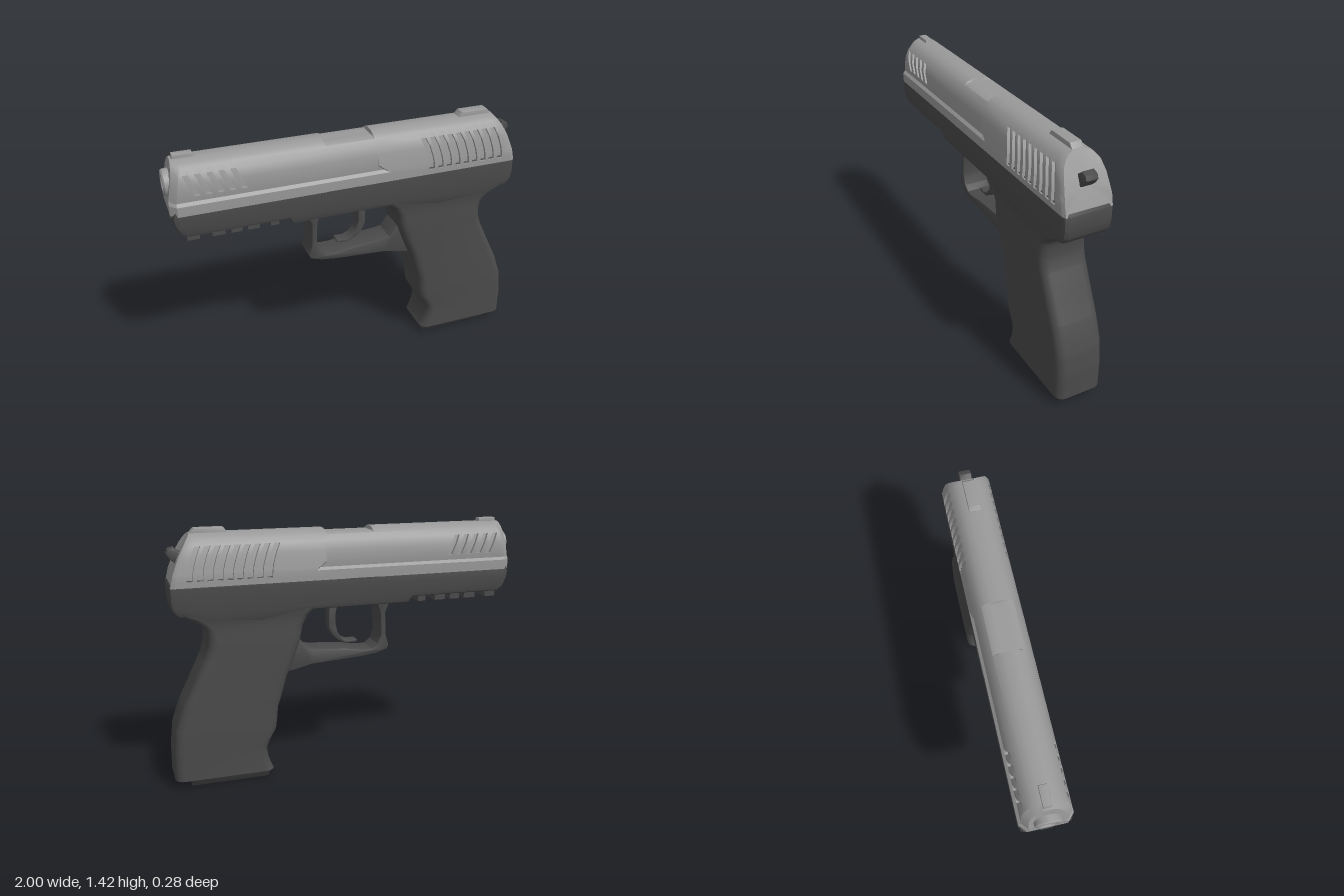
import * as THREE from 'three';
import { toCreasedNormals } from 'three/addons/utils/BufferGeometryUtils.js';

const lightMat = new THREE.MeshStandardMaterial({ color: 0x999999 });
const darkMat = new THREE.MeshStandardMaterial({ color: 0x4a4a4a });

// Piecewise linear lookup through [input, output] pairs
function lookup(pairs, v) {
  if (v <= pairs[0][0]) return pairs[0][1];
  for (let i = 1; i < pairs.length; i++) {
    const [a, fa] = pairs[i - 1], [b, fb] = pairs[i];
    if (v <= b) return fa + (fb - fa) * (v - a) / (b - a);
  }
  return pairs[pairs.length - 1][1];
}

// Skin closed rings of [x, y, z] points and cap both ends
function loft(rings, crease = 0.5) {
  const n = rings[0].length, pos = rings.flat(2), idx = [];
  for (let r = 0; r < rings.length - 1; r++) {
    for (let i = 0; i < n; i++) {
      const a = r * n + i, b = r * n + (i + 1) % n;
      idx.push(a, b, a + n, b, b + n, a + n);
    }
  }
  [0, rings.length - 1].forEach((r) => {
    const c = pos.length / 3;
    pos.push(...[0, 1, 2].map((k) => rings[r].reduce((s, p) => s + p[k], 0) / n));
    for (let i = 0; i < n; i++) {
      const a = r * n + i, b = r * n + (i + 1) % n;
      idx.push(...(r ? [a, b, c] : [b, a, c]));
    }
  });
  // Turn every face outward if the enclosed volume is negative
  const P = (i) => new THREE.Vector3().fromArray(pos, i * 3);
  let vol = 0;
  for (let i = 0; i < idx.length; i += 3) vol += P(idx[i]).dot(P(idx[i + 1]).cross(P(idx[i + 2])));
  if (vol < 0) idx.reverse();
  const g = new THREE.BufferGeometry();
  g.setAttribute('position', new THREE.Float32BufferAttribute(pos, 3));
  g.setIndex(idx);
  return toCreasedNormals(g, crease);
}

// Side outline in x, y extruded across z with bevelled edges
function plate(points, half, bevel) {
  const shape = new THREE.Shape(points.map((p) => new THREE.Vector2(...p)));
  const g = new THREE.ExtrudeGeometry(shape, {
    depth: 2 * (half - bevel), bevelEnabled: bevel > 0, bevelSize: bevel,
    bevelThickness: bevel, bevelOffset: -bevel, bevelSegments: 2,
  });
  g.translate(0, 0, -(half - bevel));
  return toCreasedNormals(g, 0.55);
}

// Rounded rectangle in a horizontal plane
function roundRing(y, x0, x1, half, r) {
  const ring = [], steps = 5;
  [[x1 - r, half - r], [x0 + r, half - r], [x0 + r, r - half], [x1 - r, r - half]].forEach(([cx, cz], q) => {
    for (let i = 0; i <= steps; i++) {
      const a = (q + i / steps) * Math.PI / 2;
      ring.push([cx + r * Math.cos(a), y, cz + r * Math.sin(a)]);
    }
  });
  return ring;
}

function slideGeometry() {
  const section = [[0.136, 1.13], [0.137, 1.16], [0.137, 1.16], [0.137, 1.185], [0.135, 1.2], [0.131, 1.23], [0.131, 1.23],
    [0.122, 1.29], [0.107, 1.34], [0.107, 1.34], [0.083, 1.37], [0.063, 1.385], [0.03, 1.398]];
  const noseX = (y) => lookup([[1.2, -0.99], [1.4, -0.95]], y);
  const tailX = (y) => lookup([[1.13, 0.962], [1.2, 0.945], [1.3, 0.905], [1.36, 0.87], [1.4, 0.84]], y);
  const ring = (xAt, { groove, ledge = false, port = false, scale = 1 } = {}) => {
    const side = section.map(([z, y], i) => {
      if (ledge && i >= 4 && i <= 6) z = i === 4 ? 0.122 : 0.125;
      if (groove && i >= groove && i <= 8) z -= 0.016;
      if (port) y = Math.min(y, 1.378);
      return [Math.min(xAt(y), tailX(y)), y, z * scale];
    });
    return [...side, ...side.map(([x, y, z]) => [x, y, -z]).reverse()];
  };
  const rings = [
    ring(noseX, { ledge: true, scale: 0.76 }),
    ring((y) => noseX(y) + 0.035, { ledge: true }),
  ];
  const addGrooves = (count, start, pitch, width, shift, groove, ledge) => {
    for (let i = 0; i < count; i++) {
      [[0, 0], [0, groove], [width, groove], [width, 0]].forEach(([d, g]) =>
        rings.push(ring((y) => Math.min(start + i * pitch + d + shift(y), tailX(y) - 0.03), { groove: g, ledge })));
    }
  };
  const t = (y, top, bottom) => THREE.MathUtils.clamp((top - y) / (top - bottom), 0, 1);
  // Slanted front grooves
  addGrooves(5, -0.91, 0.06, 0.03, (y) => 0.05 * t(y, 1.34, 1.23), 6, true);
  // Ejection port and end of the side ledge
  rings.push(ring(() => -0.16, { ledge: true }), ring(() => -0.155, { ledge: true, port: true }),
    ring(() => 0.11, { ledge: true, port: true }), ring(() => 0.115, { ledge: true }),
    ring((y) => 0.12 + 0.06 * t(y, 1.23, 1.185), { ledge: true }),
    ring((y) => 0.13 + 0.06 * t(y, 1.23, 1.185)));
  // Curved rear grooves
  addGrooves(9, 0.375, 0.0525, 0.032, (y) => 0.05 * t(y, 1.34, 1.16) * (2 - t(y, 1.34, 1.16)), 2, false);
  rings.push(ring((y) => tailX(y) - 0.02), ring(tailX, { scale: 0.93 }));
  return loft(rings, 0.45);
}

function gripGeometry() {
  // Height, front edge, rear edge
  const front = [[0.05, 0.44], [0.07, 0.45], [0.12, 0.467], [0.18, 0.475], [0.23, 0.455], [0.29, 0.42], [0.35, 0.412],
    [0.42, 0.405], [0.48, 0.385], [0.54, 0.368], [0.6, 0.35], [0.66, 0.325], [0.72, 0.3], [0.8, 0.272], [0.88, 0.255], [0.94, 0.22], [1.0, 0.15]];
  const back = [[0.05, 0.996], [0.2, 0.995], [0.34, 0.978], [0.47, 0.93], [0.56, 0.885], [0.65, 0.842], [0.73, 0.803],
    [0.79, 0.785], [0.85, 0.782], [0.89, 0.793], [0.92, 0.82], [0.95, 0.865], [0.98, 0.93], [1.0, 0.95]];
  const ys = [...new Set([...front, ...back].map((p) => p[0]))].sort((a, b) => a - b);
  return loft(ys.map((y) => roundRing(y, lookup(front, y), lookup(back, y),
    lookup([[0.8, 0.134], [0.92, 0.129], [1.0, 0.134]], y), 0.05)), 0.7);
}

export function createModel() {
  const model = new THREE.Group();
  const add = (name, geometry, material, x = 0, y = 0, z = 0) => {
    const m = new THREE.Mesh(geometry, material);
    m.name = name;
    m.position.set(x, y, z);
    model.add(m);
    return m;
  };

  add('slide', slideGeometry(), lightMat);

  // Sights
  add('frontSight', plate([[-0.945, 1.38], [-0.935, 1.418], [-0.835, 1.418], [-0.825, 1.38]], 0.022, 0.003), lightMat);
  add('rearSight', plate([[0.64, 1.37], [0.642, 1.4], [0.66, 1.422], [0.815, 1.422], [0.84, 1.395], [0.84, 1.37]], 0.032, 0.003), lightMat);

  // Hollow barrel end and the rod below it
  const bore = [[0.07, -0.03], [0.07, 0.012], [0.062, 0.02], [0.045, 0.02], [0.037, 0.012], [0.037, 0.004], [0, 0.004]];
  const barrel = new THREE.LatheGeometry(bore.map((p) => new THREE.Vector2(...p)), 32);
  add('barrel', toCreasedNormals(barrel, 0.5), lightMat, -0.98, 1.27).rotation.z = Math.PI / 2;
  add('guideRod', new THREE.CylinderGeometry(0.035, 0.035, 0.04, 24), darkMat, -0.967, 1.09).rotation.z = Math.PI / 2;

  // Hammer
  add('hammer', plate([[0.84, 1.235], [0.92, 1.245], [0.945, 1.265], [0.965, 1.295], [0.955, 1.318],
    [0.925, 1.328], [0.9, 1.305], [0.84, 1.29]], 0.034, 0.006), darkMat);

  // Frame and grip
  add('frame', plate([[-0.965, 1.17], [-0.985, 1.12], [-0.98, 1.08], [-0.955, 1.025], [-0.92, 1.0], [-0.385, 1.0],
    [-0.36, 0.967], [0.2, 0.967], [0.5, 0.92], [0.75, 0.94], [0.93, 0.975], [0.96, 1.01], [0.968, 1.06],
    [0.966, 1.13], [0.94, 1.17]], 0.135, 0.025), darkMat);
  add('grip', gripGeometry(), darkMat);
  add('slideStop', new THREE.BoxGeometry(0.17, 0.012, 0.276), darkMat, -0.075, 1.125);

  // Accessory rail teeth
  [[-0.92, -0.855], [-0.79, -0.72], [-0.69, -0.63], [-0.6, -0.535], [-0.475, -0.43]].forEach(([a, b]) =>
    add('railTooth', new THREE.BoxGeometry(b - a, 0.06, 0.19), darkMat, (a + b) / 2, 0.995));

  // Trigger guard
  add('triggerGuard', plate([[-0.29, 0.99], [-0.26, 0.955], [-0.24, 0.91], [-0.243, 0.78], [-0.262, 0.71], [-0.25, 0.69],
    [-0.19, 0.67], [-0.1, 0.658], [0.2, 0.64], [0.35, 0.605], [0.4, 0.7], [0.31, 0.82], [0.272, 0.8], [0.225, 0.735],
    [0.19, 0.728], [0.0, 0.715], [-0.1, 0.698], [-0.16, 0.698], [-0.195, 0.725], [-0.215, 0.78], [-0.208, 0.91],
    [-0.19, 0.96], [-0.16, 0.99]], 0.075, 0.008), darkMat);

  // Trigger
  add('trigger', plate([[0.025, 1.0], [0.045, 0.92], [0.048, 0.86], [0.035, 0.8], [0.005, 0.765], [-0.03, 0.75],
    [-0.08, 0.752], [-0.085, 0.742], [-0.06, 0.734], [-0.005, 0.738], [0.04, 0.762], [0.072, 0.797], [0.088, 0.84],
    [0.085, 1.0]], 0.035, 0.005), darkMat);

  // Magazine base with tapered underside
  add('magazineBase', loft([roundRing(0, 0.47, 0.905, 0.09, 0.012), roundRing(0.012, 0.468, 0.907, 0.1, 0.012),
    roundRing(0.06, 0.468, 0.917, 0.128, 0.012)], 0.4), darkMat);

  return model;
}
